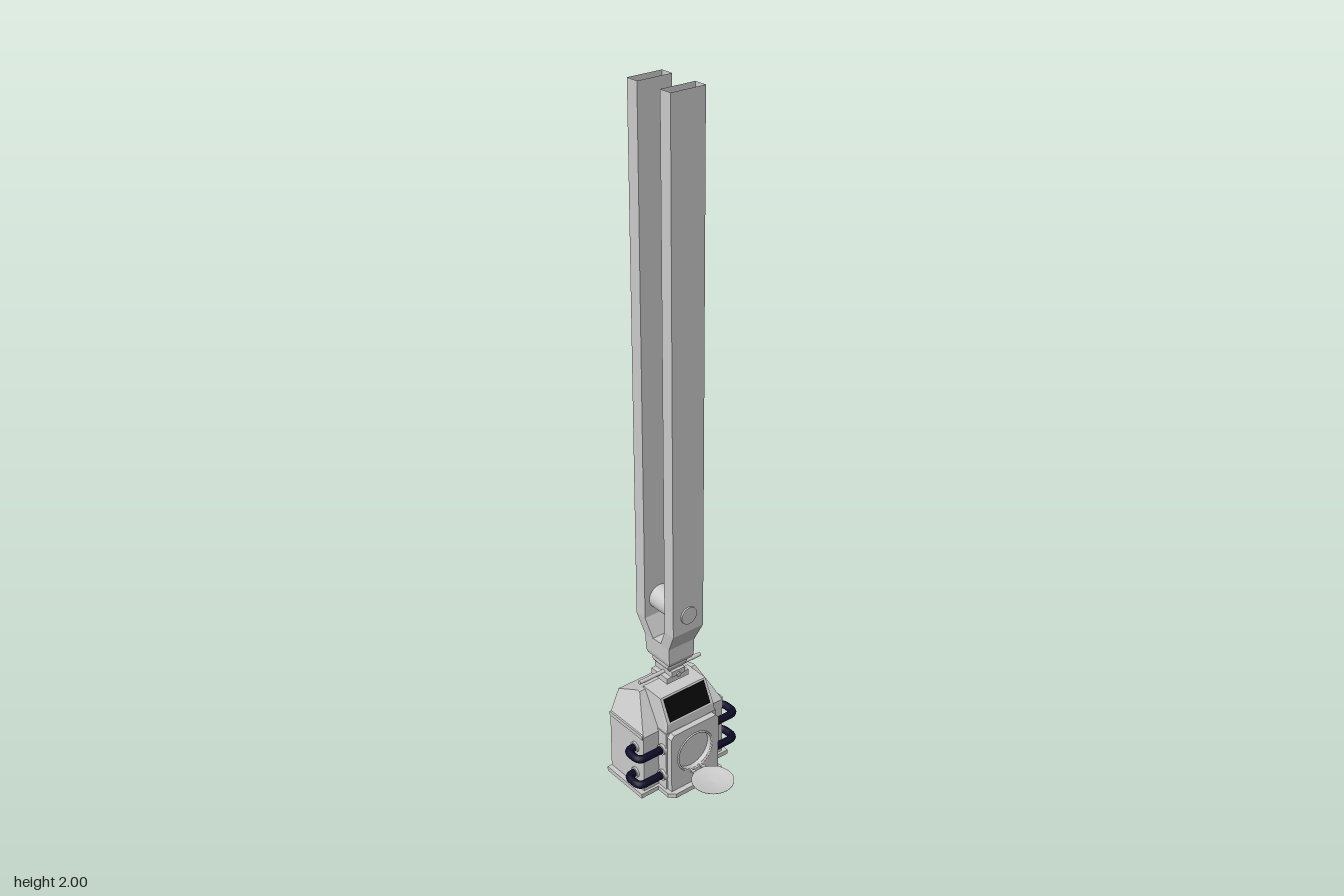
import * as THREE from 'three';
import { ConvexGeometry } from 'three/addons/geometries/ConvexGeometry.js';

const grey = new THREE.MeshStandardMaterial({ color: 0xcccccc });
const greyThin = new THREE.MeshStandardMaterial({ color: 0xcccccc, side: THREE.DoubleSide });
const navy = new THREE.MeshStandardMaterial({ color: 0x0c0a26 });
const black = new THREE.MeshStandardMaterial({ color: 0x080808 });
const CX = -0.08; // centre line of neck and fork

export function createModel() {
  const model = new THREE.Group();

  const add = (name, geometry, material = grey) => {
    const mesh = new THREE.Mesh(geometry, material);
    mesh.name = name;
    model.add(mesh);
    return mesh;
  };
  // Convex solid from [x, y, z] corners mirrored across z
  const hull = (name, corners, material) => add(name, new ConvexGeometry(
    corners.flatMap(([x, y, z]) => [new THREE.Vector3(x, y, z), new THREE.Vector3(x, y, -z)])), material);
  const box = (name, w, h, d, x, y, z) => add(name, new THREE.BoxGeometry(w, h, d)).position.set(x, y, z);
  // Cylinder along a chosen axis
  const rod = (name, r, length, axis, x, y, z, sides = 24) => {
    const g = new THREE.CylinderGeometry(r, r, length, sides);
    if (axis === 'x') g.rotateZ(Math.PI / 2);
    if (axis === 'z') g.rotateX(Math.PI / 2);
    add(name, g).position.set(x, y, z);
  };

  // Base plate with a chamfered foot at the front
  box('basePlate', 0.16, 0.014, 0.316, -0.092, 0.007, 0);
  hull('frontFoot', [0, 0.014].flatMap(y => [[-0.05, y, 0.098], [0.032, y, 0.098], [0.048, y, 0.08]]));

  // Main housing with sloped shoulders
  hull('housing', [
    [-0.172, 0.01, 0.143], [-0.172, 0.2, 0.143], [-0.172, 0.27, 0.112],
    [-0.1, 0.3, 0.1], [-0.09, 0.3, 0.1], [-0.035, 0.21, 0.135],
    [-0.02, 0.01, 0.143], [-0.02, 0.2, 0.143]]);
  for (const s of [1, -1]) box('sideTrim', 0.15, 0.012, 0.006, -0.097, 0.2, s * 0.143);

  // Window tower
  hull('tower', [
    [-0.13, 0.2, 0.088], [-0.1, 0.305, 0.08], [-0.022, 0.305, 0.08],
    [0.012, 0.235, 0.082], [0.014, 0.2, 0.088]]);
  hull('window', [
    [-0.03, 0.3, 0.072], [-0.0175, 0.3, 0.072], [0.0115, 0.24, 0.072], [0, 0.24, 0.072]], black);

  // Hatch block and front panel with a round opening
  hull('hatchBlock', [0.01, 0.208].flatMap(y => [[-0.04, y, 0.09], [0.014, y, 0.09]]));
  const panel = new THREE.Shape([
    [-0.085, 0.014], [0.085, 0.014], [0.085, 0.195], [0.075, 0.207], [-0.075, 0.207], [-0.085, 0.195],
  ].map(([a, b]) => new THREE.Vector2(a, b)));
  panel.holes.push(new THREE.Path().absarc(0, 0.118, 0.06, 0, Math.PI * 2, true));
  const panelGeo = new THREE.ExtrudeGeometry(panel, { depth: 0.019, bevelEnabled: false, curveSegments: 24 });
  panelGeo.rotateY(Math.PI / 2);
  add('hatchPanel', panelGeo).position.x = 0.013;
  const rim = new THREE.TorusGeometry(0.061, 0.003, 6, 48).rotateY(Math.PI / 2);
  add('hatchRim', rim).position.set(0.032, 0.118, 0);

  // Open hatch lid, a shallow dish lying flat
  const lid = [[0, -0.009], [0.025, -0.007], [0.045, -0.003], [0.06, 0.002], [0.06, 0.004],
    [0.045, 0.0], [0.025, -0.003], [0, -0.005]].map(([r, y]) => new THREE.Vector2(r, y));
  add('hatchLid', new THREE.LatheGeometry(lid, 48), greyThin).position.set(0.11, 0.06, 0);
  for (const s of [1, -1]) {
    rod('hinge', 0.004, 0.012, 'z', 0.046, 0.062, s * 0.018, 12);
    box('hingeArm', 0.024, 0.004, 0.007, 0.042, 0.061, s * 0.018);
  }

  // Dark hoses, two on each side, with flanges
  for (const s of [1, -1]) for (const y of [0.06, 0.15]) {
    const path = new THREE.CurvePath();
    const p = (x, z) => new THREE.Vector3(x, y, s * z);
    path.add(new THREE.LineCurve3(p(-0.057, 0.14), p(-0.057, 0.153)));
    path.add(new THREE.QuadraticBezierCurve3(p(-0.057, 0.153), p(-0.057, 0.174), p(-0.036, 0.174)));
    path.add(new THREE.LineCurve3(p(-0.036, 0.174), p(-0.021, 0.174)));
    path.add(new THREE.QuadraticBezierCurve3(p(-0.021, 0.174), p(0, 0.174), p(0, 0.153)));
    path.add(new THREE.LineCurve3(p(0, 0.153), p(0, 0.088)));
    add('hose', new THREE.TubeGeometry(path, 48, 0.0115, 12), navy);
    rod('hoseFlange', 0.016, 0.008, 'z', -0.057, y, s * 0.145);
    rod('hoseFlange', 0.016, 0.012, 'z', 0, y, s * 0.092);
  }

  // Neck joint with cross bar
  rod('neckPin', 0.014, 0.07, 'y', CX, 0.335, 0);
  box('neckPlate', 0.07, 0.018, 0.076, CX, 0.33, 0);
  box('neckBlock', 0.076, 0.018, 0.045, CX, 0.348, 0);
  rod('crossBar', 0.006, 0.216, 'z', CX, 0.34, 0, 12);
  for (const s of [1, -1]) rod('neckBolt', 0.007, 0.008, 'x', CX + s * 0.038, 0.342, 0, 12);
  hull('neckCollar', [-1, 1].flatMap(s => [
    [CX + s * 0.028, 0.355, 0.024], [CX + s * 0.034, 0.37, 0.034], [CX + s * 0.034, 0.392, 0.034]]));

  // Fork base
  hull('forkBase', [-1, 1].flatMap(s => [
    [CX + s * 0.048, 0.388, 0.04], [CX + s * 0.052, 0.4, 0.043], [CX + s * 0.052, 0.452, 0.045]]));

  // Fork prongs: open channels flaring out of the base, [y, inner, outer, half depth]
  const sections = [[0.448, 0.015, 0.052, 0.045], [0.508, 0.043, 0.081, 0.052], [2, 0.043, 0.081, 0.052]];
  for (const s of [1, -1]) {
    const rings = sections.map(([y, a, b, d]) =>
      [[a, d], [b, d], [b, -d], [a, -d]].map(([x, z]) => [CX + s * x, y, s * z]));
    const pos = [];
    for (let i = 0; i < 2; i++) for (let j = 0; j < 4; j++) {
      const k = (j + 1) % 4;
      const [a, b, c, d] = [rings[i][j], rings[i][k], rings[i + 1][k], rings[i + 1][j]];
      pos.push(...a, ...b, ...c, ...a, ...c, ...d);
    }
    const g = new THREE.BufferGeometry();
    g.setAttribute('position', new THREE.Float32BufferAttribute(pos, 3));
    g.computeVertexNormals();
    add('forkProng', g, greyThin);
  }

  // Roller between the prongs, its stem and outer bolt
  rod('roller', 0.036, 0.088, 'x', CX, 0.561, 0, 40);
  rod('rollerStem', 0.011, 0.09, 'y', CX, 0.49, 0);
  rod('rollerBolt', 0.026, 0.008, 'x', 0.002, 0.561, 0);

  return model;
}
